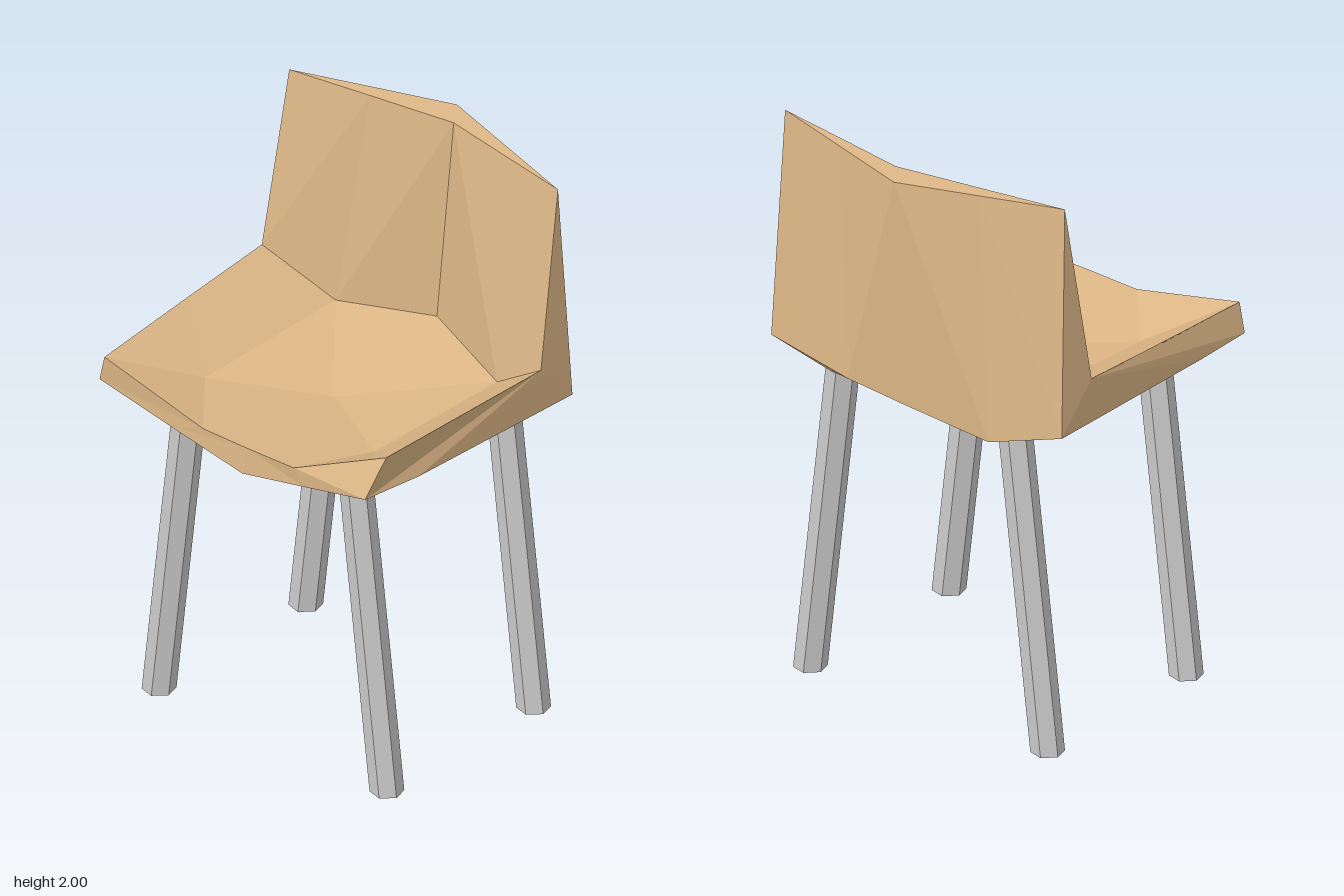
import * as THREE from 'three';

const wood = new THREE.MeshStandardMaterial({ color: 0xdeb887, flatShading: true });
const metal = new THREE.MeshStandardMaterial({ color: 0xcccccc, flatShading: true });

// Closed cross-sections of the shell, from -x to +x. Each runs: front rim, seat,
// seat/back crease, back top front, back top rear, rear base, underside back,
// underside middle, front base.
const sections = [
  [[-.57, 1.31, .54], [-.595, 1.335, .1], [-.61, 1.36, -.28], [-.57, 2, -.37], [-.57, 2, -.37],
    [-.61, 1.2, -.435], [-.61, 1.2, -.435], [-.605, 1.205, .3], [-.6, 1.21, .53]],
  [[-.13, 1.215, .55], [-.36, 1.2, .28], [-.35, 1.22, -.35], [-.26, 2, -.42], [-.29, 2, -.468],
    [-.35, 1.13, -.495], [-.39, 1.125, -.43], [-.41, 1.12, .38], [-.28, 1.165, .545]],
  [[.07, 1.22, .555], [0, 1.166, .05], [0, 1.25, -.455], [.06, 2, -.47], [-.01, 2, -.565],
    [-.03, 1.175, -.525], [0, 1.12, -.43], [0, 1.09, .05], [.05, 1.12, .56]],
  [[.27, 1.225, .555], [.37, 1.2, .27], [.4, 1.225, -.3], [.33, 2, -.422], [.295, 2, -.47],
    [.2, 1.21, -.545], [.4, 1.125, -.4], [.41, 1.12, .38], [.31, 1.165, .548]],
  [[.6, 1.355, .47], [.605, 1.357, .1], [.61, 1.36, -.28], [.6, 2, -.375], [.6, 2, -.375],
    [.61, 1.2, -.435], [.61, 1.2, -.435], [.59, 1.205, .3], [.565, 1.21, .535]],
];

function shellGeometry() {
  const positions = [];
  const tri = (a, b, c) => {
    const [p, q, r] = [a, b, c].map((v) => new THREE.Vector3(...v));
    const area = q.clone().sub(p).cross(r.clone().sub(p)).length();
    if (area > 1e-6) positions.push(...a, ...b, ...c);
  };
  const n = sections[0].length;
  // Skin between neighbouring sections, diagonals meeting at the dished centre
  for (let s = 0; s < sections.length - 1; s++) {
    for (let k = 0; k < n; k++) {
      const j = (k + 1) % n;
      const a = sections[s][k], b = sections[s + 1][k];
      const c = sections[s + 1][j], d = sections[s][j];
      const flip = (s >= 2) !== (k === 1 || k === 4);
      if (flip) { tri(a, b, d); tri(b, c, d); } else { tri(a, b, c); tri(a, c, d); }
    }
  }
  // Side caps, fanned from the concave seat/back corner
  const first = sections[0], last = sections[sections.length - 1];
  for (let i = 1; i < n - 1; i++) {
    const k = (2 + i) % n, j = (3 + i) % n;
    tri(first[2], first[k], first[j]);
    tri(last[2], last[j], last[k]);
  }
  const geometry = new THREE.BufferGeometry();
  geometry.setAttribute('position', new THREE.Float32BufferAttribute(positions, 3));
  geometry.computeVertexNormals();
  return geometry;
}

// Six-sided leg, sheared so it splays outward toward the floor
function makeLeg(name, side, z) {
  const height = 1.135;
  const geometry = new THREE.CylinderGeometry(.057, .057, height, 6);
  geometry.rotateY(.26);
  geometry.translate(0, height / 2, 0);
  const p = geometry.attributes.position;
  for (let i = 0; i < p.count; i++) {
    p.setX(i, p.getX(i) + side * (.498 - .12 * p.getY(i)));
  }
  geometry.computeVertexNormals();
  const leg = new THREE.Mesh(geometry, metal);
  leg.name = name;
  leg.position.z = z;
  return leg;
}

export function createModel() {
  const chair = new THREE.Group();
  chair.name = 'chair';

  const shell = new THREE.Mesh(shellGeometry(), wood);
  shell.name = 'seatShell';
  chair.add(shell);

  for (const [label, side] of [['Left', 1], ['Right', -1]]) {
    chair.add(makeLeg(`front${label}Leg`, side, .352));
    chair.add(makeLeg(`back${label}Leg`, side, -.37));
  }
  return chair;
}
